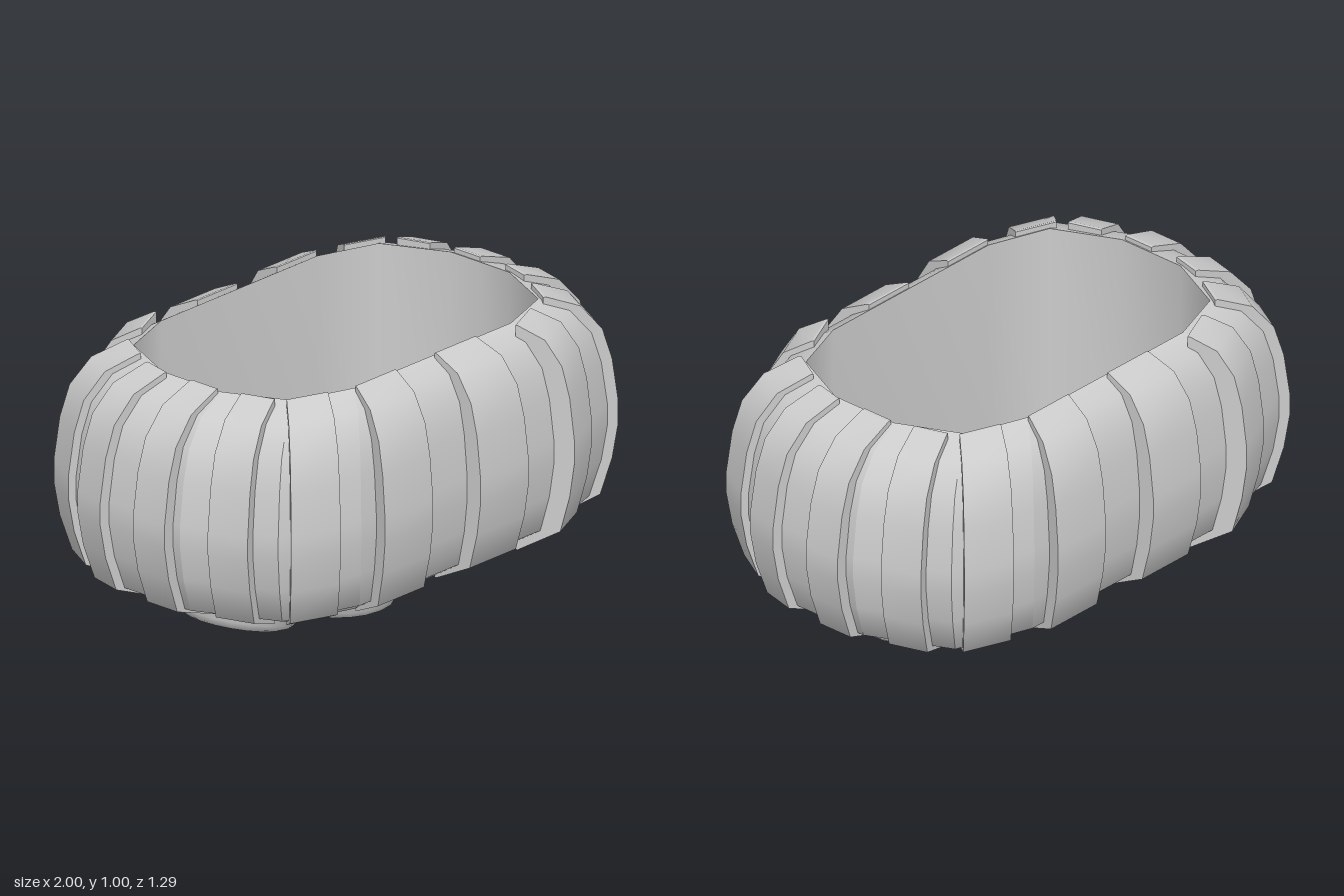
import * as THREE from 'three';
import { mergeGeometries, toCreasedNormals } from 'three/addons/utils/BufferGeometryUtils.js';

// Wall profile: [height, how far it bulges (0 = inner wall, 1 = widest)]
const PROFILE = [[0.2, 0.04], [0.275, 0.76], [0.4, 0.92], [0.52, 1], [0.6, 1],
  [0.75, 0.92], [0.86, 0.79], [0.95, 0.5], [0.995, 0.04]];
const WALL_TOP = 0.983;

// Inner outline as [x, z], running from +x towards +z
const OUTLINE = [[0.7, -0.13], [0.7, 0.13], [0.595, 0.355], [0.38, 0.43], [-0.38, 0.43], [-0.595, 0.355],
  [-0.7, 0.13], [-0.7, -0.13], [-0.595, -0.355], [-0.38, -0.43], [0.38, -0.43], [0.595, -0.355]];

// Staves: outer centre x, z, facing x, z, half width (the rest by half turn)
const STAVES = [
  [0.998, -0.08, 1, 0, 0.07],
  [0.972, 0.21, 0.97, 0.24, 0.067],
  [0.85, 0.445, 0.87, 0.49, 0.077],
  [0.54, 0.605, 0.41, 0.91, 0.092],
  [0.115, 0.645, 0, 1, 0.117],
  [-0.35, 0.645, 0, 1, 0.117],
  [-0.71, 0.56, -0.36, 0.93, 0.091],
  [-0.915, 0.355, -0.95, 0.31, 0.072],
];

const material = new THREE.MeshStandardMaterial({ color: 0xcccccc });

function addMesh(parent, geometry, name) {
  const mesh = new THREE.Mesh(geometry, material);
  mesh.name = name;
  parent.add(mesh);
  return mesh;
}

// Strip between two rows of points; smooth along its length, sharp at its sides
function strip(left, right) {
  const geometry = new THREE.BufferGeometry();
  const index = [];
  const n = left.length;
  for (let i = 0; i < n - 1; i++) index.push(i, i + 1, n + i, n + i, i + 1, n + i + 1);
  geometry.setAttribute('position', new THREE.Float32BufferAttribute([...left, ...right].flat(), 3));
  geometry.setIndex(index);
  geometry.computeVertexNormals();
  return geometry;
}

// Bulging wall: the outline scaled up along the profile, just under the staves
function outerWallGeometry() {
  const squash = (WALL_TOP - 0.2) / 0.795;
  const columns = OUTLINE.map(([x, z]) => PROFILE.map(([y, f]) => {
    const s = 1 + 0.375 * (f - 0.04);
    return [x * s, 0.2 + (y - 0.2) * squash, z * s];
  }));
  return mergeGeometries(columns.map((c, i) => strip(c, columns[(i + 1) % columns.length])));
}

// Straight lining, smooth all the way round and open at both ends
function innerWallGeometry() {
  const ring = [[0.7, 0], ...OUTLINE.slice(1), OUTLINE[0], [0.7, 0]];
  const at = (y) => ring.map(([x, z]) => [x, y, z]);
  return strip(at(0.2), at(WALL_TOP));
}

// Closed block whose outer face follows the profile and narrows towards the lining
function staveGeometry([cx, cz, fx, fz, halfWidth]) {
  const len = Math.hypot(fx, fz);
  const nx = fx / len, nz = fz / len;
  const outer = cx * nx + cz * nz;
  const middle = cz * nx - cx * nz;
  const inner = Math.max(...OUTLINE.map(([x, z]) => x * nx + z * nz)) + 0.01;
  const side = (sign, follow) => PROFILE.map(([y, f]) => {
    const g = follow ? f : 0;
    const d = inner + (outer - inner) * g;
    const t = (middle + sign * halfWidth) * (0.83 + 0.17 * g);
    return [nx * d - nz * t, y, nz * d + nx * t];
  });
  const a = side(-1, true), b = side(1, true);
  const a0 = side(-1, false), b0 = side(1, false);
  const top = PROFILE.length - 1;
  return mergeGeometries([strip(a, b), strip(b, b0), strip(b0, a0), strip(a0, a),
    strip([a[top], a0[top]], [b[top], b0[top]]), strip([a0[0], a[0]], [b0[0], b[0]])]);
}

// Closed ring section: funnel inside, rounded lip, tapered outside
function nozzleGeometry() {
  const points = [[0.24, 0.23], [0.215, 0.15], [0.17, 0.08], [0.138, 0.045], [0.132, 0.028], [0.14, 0.01],
    [0.155, 0], [0.175, 0], [0.19, 0.008], [0.2, 0.026], [0.26, 0.215], [0.24, 0.23]]
    .map(([r, y]) => new THREE.Vector2(r, y));
  return toCreasedNormals(new THREE.LatheGeometry(points, 20), 0.75);
}

export function createModel() {
  const model = new THREE.Group();
  model.name = 'basin';

  addMesh(model, outerWallGeometry(), 'outerWall');
  addMesh(model, innerWallGeometry(), 'innerWall');

  // Staves around the wall
  const staves = new THREE.Group();
  staves.name = 'staves';
  for (const stave of STAVES) {
    const geometry = staveGeometry(stave);
    for (const turn of [0, Math.PI]) addMesh(staves, geometry, 'stave').rotation.y = turn;
  }
  model.add(staves);

  // Three nozzles below, the outer two splayed outwards
  const nozzle = nozzleGeometry();
  for (const [name, x, y, tilt] of [
    ['rightNozzle', -0.487, 0.08, -0.235],
    ['centreNozzle', 0.01, 0, 0],
    ['leftNozzle', 0.513, 0.08, 0.25],
  ]) {
    const mesh = addMesh(model, nozzle, name);
    mesh.position.set(x, y, 0);
    mesh.rotation.z = tilt;
  }
  return model;
}
